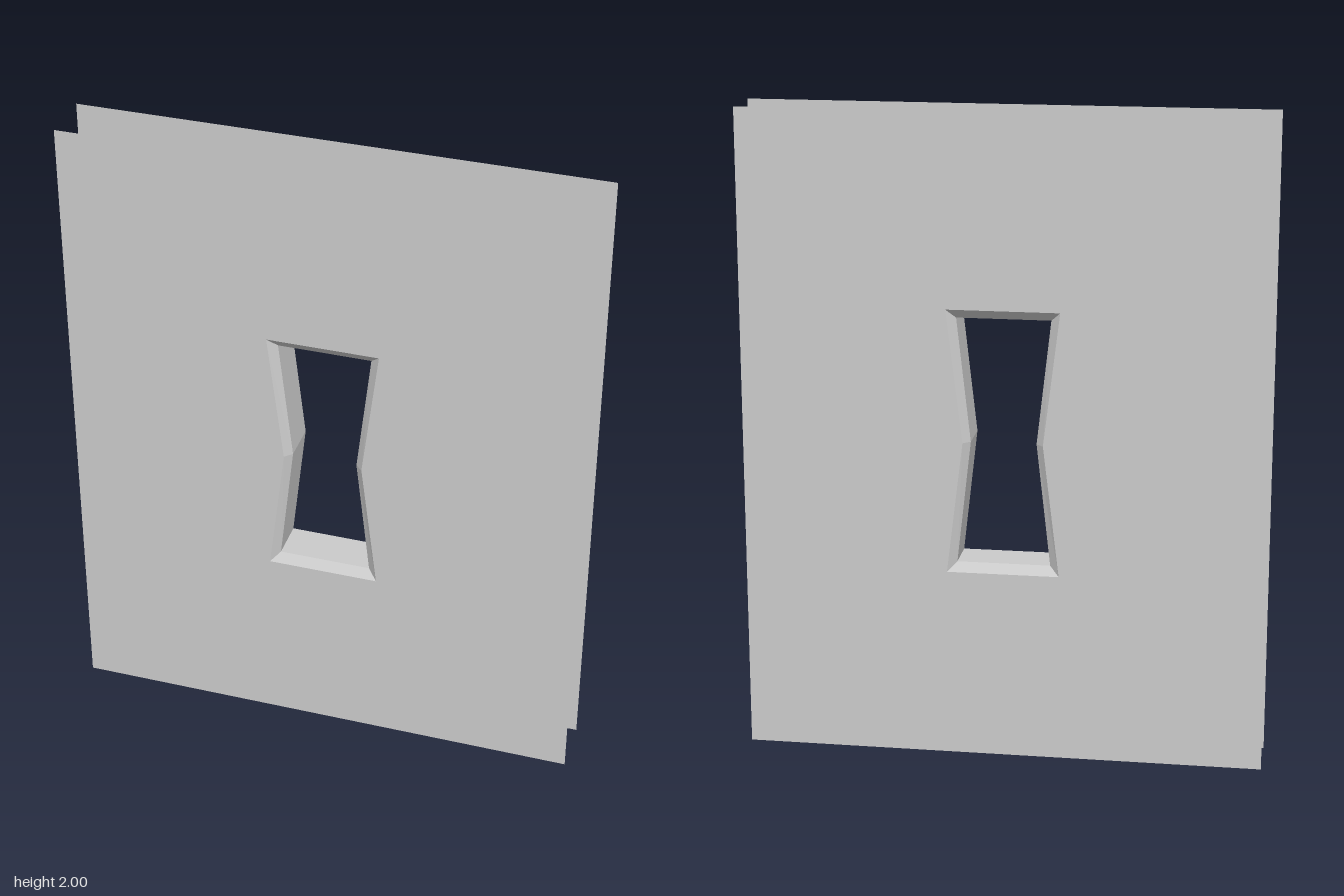
import * as THREE from 'three';

const material = new THREE.MeshStandardMaterial({
  color: 0xcccccc, flatShading: true, side: THREE.DoubleSide,
});

const PLATE_Z = 0.085, THROAT_Z = 0.063;

// Waisted window outline, counter-clockwise, centred on y = 1
const outline = (corner, waist, halfHeight) => [
  [-corner, 1 - halfHeight], [corner, 1 - halfHeight], [waist, 1],
  [corner, 1 + halfHeight], [-corner, 1 + halfHeight], [-waist, 1],
].map(([x, y]) => new THREE.Vector2(x, y));

const rim = outline(0.172, 0.122, 0.41);
const throat = outline(0.143, 0.1, 0.382);

// Wall strip facing into the opening, from a front loop to a back loop
function strip(front, zFront, back, zBack) {
  const positions = [];
  front.forEach((a, i) => {
    const j = (i + 1) % front.length;
    const b = front[j], c = back[j], d = back[i];
    positions.push(
      a.x, a.y, zFront, b.x, b.y, zFront, c.x, c.y, zBack,
      a.x, a.y, zFront, c.x, c.y, zBack, d.x, d.y, zBack);
  });
  const geometry = new THREE.BufferGeometry();
  geometry.setAttribute('position', new THREE.Float32BufferAttribute(positions, 3));
  geometry.computeVertexNormals();
  return geometry;
}

export function createModel() {
  const model = new THREE.Group();
  model.name = 'wallWithWindow';
  const add = (name, geometry) => {
    const mesh = new THREE.Mesh(geometry, material);
    mesh.name = name;
    model.add(mesh);
    return mesh;
  };

  // Thin wall faces with the window cut out
  const face = new THREE.Shape([[-0.8, 0], [0.8, 0], [0.8, 2], [-0.8, 2]]
    .map(([x, y]) => new THREE.Vector2(x, y)));
  face.holes.push(new THREE.Path([...rim].reverse()));
  const faceGeometry = new THREE.ShapeGeometry(face);
  add('frontWall', faceGeometry).position.z = PLATE_Z;
  const backWall = add('backWall', faceGeometry);
  backWall.position.z = -PLATE_Z;
  backWall.rotation.y = Math.PI;

  // Bevelled reveals and the straight throat between them
  add('frontBevel', strip(rim, PLATE_Z, throat, THROAT_Z));
  add('windowThroat', strip(throat, THROAT_Z, throat, -THROAT_Z));
  add('backBevel', strip(throat, -THROAT_Z, rim, -PLATE_Z));

  return model;
}
